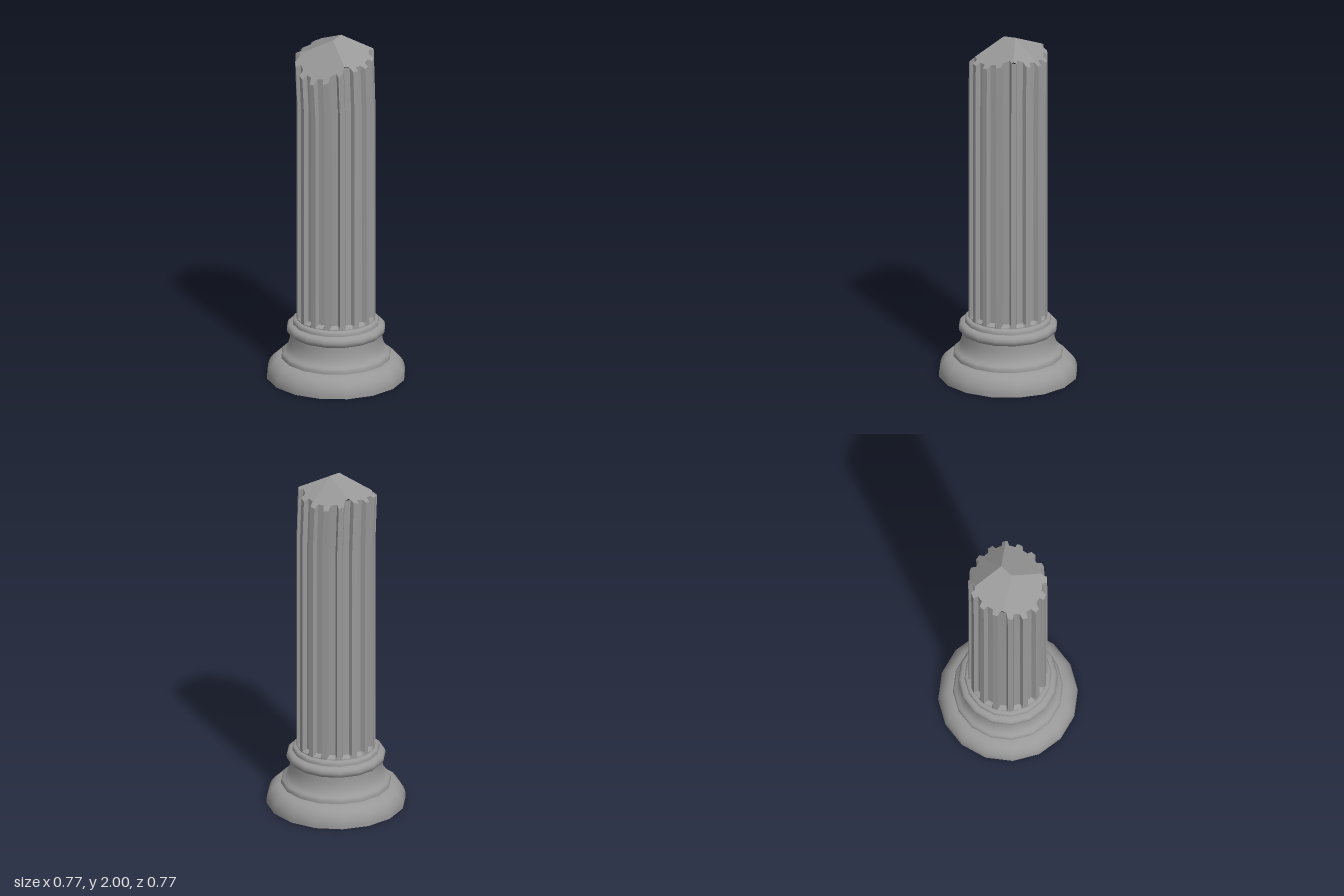
import * as THREE from 'three';
import { toCreasedNormals } from 'three/addons/utils/BufferGeometryUtils.js';

const FLUTES = 16, RIDGE_R = 0.219, FLOOR_R = 0.193;
const LEAN_X = -0.004, LEAN_Z = -0.008; // drift of the broken end

// Planes of the broken end: y = c + a x + b z; the lowest one wins
const PLANES = [
  [1.994, 0.12, -0.6], // front
  [1.994, 0.12, 0.47], // back
  [2.02, 1.05, 0], // right-hand side (-x)
  [2.04, -0.8, 0], // left-hand side (+x)
  [2.04, -0.8, 0.2], // back of the left-hand side
];
const planeY = ([c, a, b], p) => c + a * p.x + b * p.y;
const topY = (p) => Math.min(...PLANES.map((q) => planeY(q, p)));

// Fluted outline in (x, z), running anticlockwise seen from above
function outline(floorR, dx = 0, dz = 0) {
  const pts = [];
  for (let k = 0; k < FLUTES; k++) {
    for (const [deg, r] of [[-6.2, floorR], [-3.8, RIDGE_R], [3.8, RIDGE_R], [6.2, floorR]]) {
      const t = THREE.MathUtils.degToRad((k * 360) / FLUTES + deg);
      pts.push(new THREE.Vector2(r * Math.sin(t) + dx, r * Math.cos(t) + dz));
    }
  }
  return pts;
}

// Keep the part of a polygon where f <= 0
function clip(poly, f) {
  const out = [];
  poly.forEach((p, i) => {
    const q = poly[(i + 1) % poly.length], fp = f(p), fq = f(q);
    if (fp <= 0) out.push(p);
    if (fp * fq < 0) out.push(p.clone().lerp(q, fp / (fp - fq)));
  });
  return out;
}

function flatGeometry(pos) {
  const g = new THREE.BufferGeometry();
  g.setAttribute('position', new THREE.Float32BufferAttribute(pos, 3));
  g.computeVertexNormals();
  return g;
}

// Fluted wall joining the foot, the straight run and the leaning broken edge
function shaftGeometry() {
  const foot = outline(RIDGE_R - 0.003), run = outline(FLOOR_R), end = outline(FLOOR_R, LEAN_X, LEAN_Z);
  const rows = [
    foot.map((p) => [p.x, 0.335, p.y]),
    foot.map((p) => [p.x, 0.347, p.y]),
    run.map((p) => [p.x, 0.362, p.y]),
    run.map((p) => [p.x, 1.6, p.y]),
    end.map((p) => [p.x, topY(p), p.y]),
  ];
  const pos = [];
  for (let j = 0; j < rows.length - 1; j++) {
    for (let i = 0; i < run.length; i++) {
      const n = (i + 1) % run.length;
      const a = rows[j][i], b = rows[j][n], c = rows[j + 1][n], d = rows[j + 1][i];
      pos.push(...a, ...b, ...c, ...a, ...c, ...d);
    }
  }
  return toCreasedNormals(flatGeometry(pos), 0.3);
}

// Each facet is the outline clipped to where its plane is the lowest
function brokenTopGeometry() {
  const pos = [];
  for (const plane of PLANES) {
    let poly = outline(FLOOR_R, LEAN_X, LEAN_Z);
    for (const other of PLANES) {
      if (other !== plane) poly = clip(poly, (p) => planeY(plane, p) - planeY(other, p));
    }
    if (poly.length < 3) continue;
    for (const tri of THREE.ShapeUtils.triangulateShape(poly, [])) {
      let [a, b, c] = tri.map((i) => poly[i]);
      if ((b.x - a.x) * (c.y - a.y) - (b.y - a.y) * (c.x - a.x) > 0) [b, c] = [c, b];
      for (const p of [a, b, c]) pos.push(p.x, planeY(plane, p), p.y);
    }
  }
  return flatGeometry(pos);
}

// Sixteen-sided turned moulding
function turned(profile) {
  const g = new THREE.LatheGeometry(profile.map(([r, y]) => new THREE.Vector2(r, y)), 16);
  return toCreasedNormals(g, 1);
}

export function createModel() {
  const model = new THREE.Group();
  model.name = 'brokenColumn';
  const stone = new THREE.MeshStandardMaterial({ color: 0x999999 });
  const add = (name, geometry) => {
    const mesh = new THREE.Mesh(geometry, stone);
    mesh.name = name;
    model.add(mesh);
  };

  add('lowerTorus', turned([[0, 0], [0.387, 0], [0.387, 0.02], [0.384, 0.04], [0.374, 0.066],
    [0.356, 0.09], [0.333, 0.107], [0.305, 0.115], [0.28, 0.117]]));
  add('scotia', turned([[0.305, 0.114], [0.305, 0.134], [0.299, 0.143], [0.285, 0.152], [0.271, 0.17],
    [0.262, 0.2], [0.257, 0.23], [0.257, 0.262]]));
  add('upperTorus', turned([[0.25, 0.256], [0.262, 0.257], [0.272, 0.267], [0.276, 0.283],
    [0.272, 0.299], [0.262, 0.309], [0.241, 0.314]]));
  add('neckRing', turned([[0.241, 0.312], [0.241, 0.33], [0.235, 0.338], [0.22, 0.342], [0.19, 0.343]]));
  add('flutedShaft', shaftGeometry());
  add('brokenTop', brokenTopGeometry());
  return model;
}
